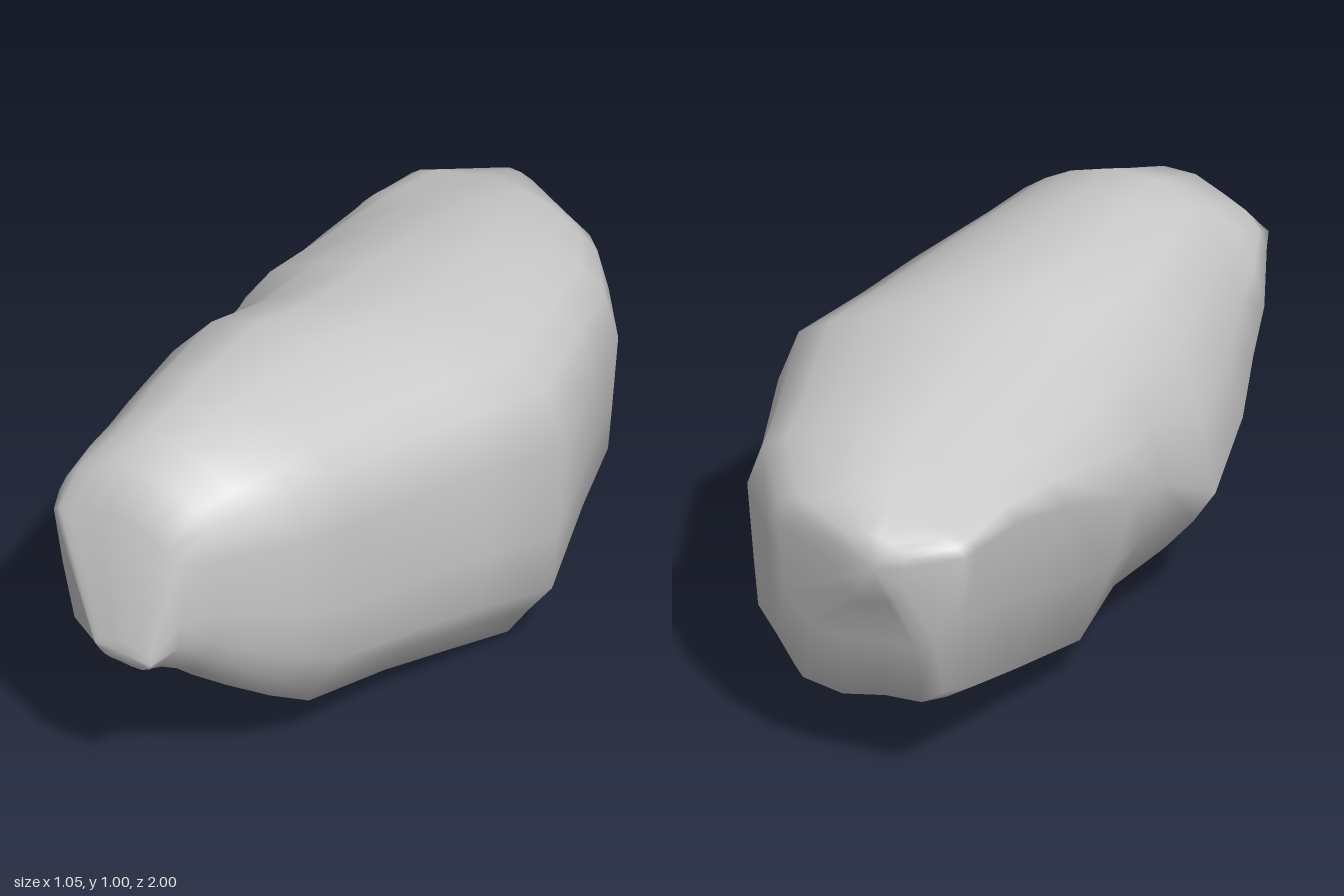
import * as THREE from 'three';

// Right side of the outline from bottom to top, in -1..1 across and up
const RIGHT_SIDE = [
  [0.2, -1], [0.59, -0.94], [0.73, -0.72], [0.9, -0.5], [0.94, -0.16],
  [1, 0.26], [0.86, 0.6], [0.65, 0.74], [0.42, 0.87], [0.12, 0.99],
];

// Cross-sections from back to front: [z, xMin, xMax, yMin, yMax, height of the left edge 0..1]
const SECTIONS = [
  [-1, -0.31, -0.11, 0.6, 0.8, 0.65],
  [-0.91, -0.43, 0.12, 0.42, 0.83, 0.8],
  [-0.88, -0.45, 0.17, 0.23, 0.85, 0.86],
  [-0.7, -0.47, 0.33, 0.14, 0.9, 0.82],
  [-0.5, -0.49, 0.4, 0.08, 0.925, 0.75],
  [-0.2, -0.53, 0.525, 0, 0.97, 0.62],
  [0.03, -0.48, 0.46, 0.04, 0.985, 0.5],
  [0.22, -0.52, 0.42, 0.07, 1, 0.36],
  [0.5, -0.44, 0.36, 0.11, 1, 0.4],
  [0.65, -0.385, 0.33, 0.2, 0.99, 0.45],
  [0.75, -0.36, 0.26, 0.27, 0.95, 0.55],
  [0.85, -0.31, 0.2, 0.35, 0.91, 0.72],
  [0.93, -0.27, 0.14, 0.39, 0.8, 0.88],
  [1, -0.09, 0.09, 0.42, 0.48, 0.5],
];

// Counter-clockwise outline whose left edge sticks out furthest at the given height
function outline(peak) {
  const edge = peak * 2 - 1;
  const square = (v) => Math.sign(v) * Math.abs(v) ** 0.8;
  const upper = (t) => 0.88 + (edge - 0.88) * t;
  return [
    ...RIGHT_SIDE.map(([x, y]) => [square(x), square(y)]),
    [-0.18, 1], [-0.5, 0.88], [-0.76, upper(0.25)], [-0.91, upper(0.6)], [-1, edge],
    [-0.86, (edge - 0.72) / 2], [-0.68, -0.72], [-0.47, -0.87], [-0.13, -0.9],
  ];
}

function rockGeometry() {
  const n = outline(0.5).length;
  const last = SECTIONS.length - 1;
  const points = [];
  const index = [];

  // Fit the outline into the bounds of each section
  for (const [z, x0, x1, y0, y1, peak] of SECTIONS) {
    for (const [x, y] of outline(peak)) {
      points.push(x0 + (x1 - x0) * (x + 1) / 2, y0 + (y1 - y0) * (y + 1) / 2, z);
    }
  }
  // Centre points of the two ends
  for (const s of [0, last]) {
    const [z, x0, x1, y0, y1] = SECTIONS[s];
    points.push((x0 + x1) / 2, (y0 + y1) / 2, z);
  }
  const backCentre = n * SECTIONS.length;

  for (let j = 0; j < n; j++) {
    const k = (j + 1) % n;
    for (let i = 0; i < last; i++) {
      const a = i * n + j, b = i * n + k;
      index.push(a, b, b + n, a, b + n, a + n);
    }
    index.push(backCentre, k, j);
    index.push(backCentre + 1, last * n + j, last * n + k);
  }

  const geometry = new THREE.BufferGeometry();
  geometry.setAttribute('position', new THREE.Float32BufferAttribute(points, 3));
  geometry.setIndex(index);
  geometry.computeVertexNormals();
  return geometry;
}

export function createModel() {
  const model = new THREE.Group();
  model.name = 'boulder';
  const rock = new THREE.Mesh(rockGeometry(), new THREE.MeshStandardMaterial({ color: 0xcccccc }));
  rock.name = 'rock';
  model.add(rock);
  return model;
}
